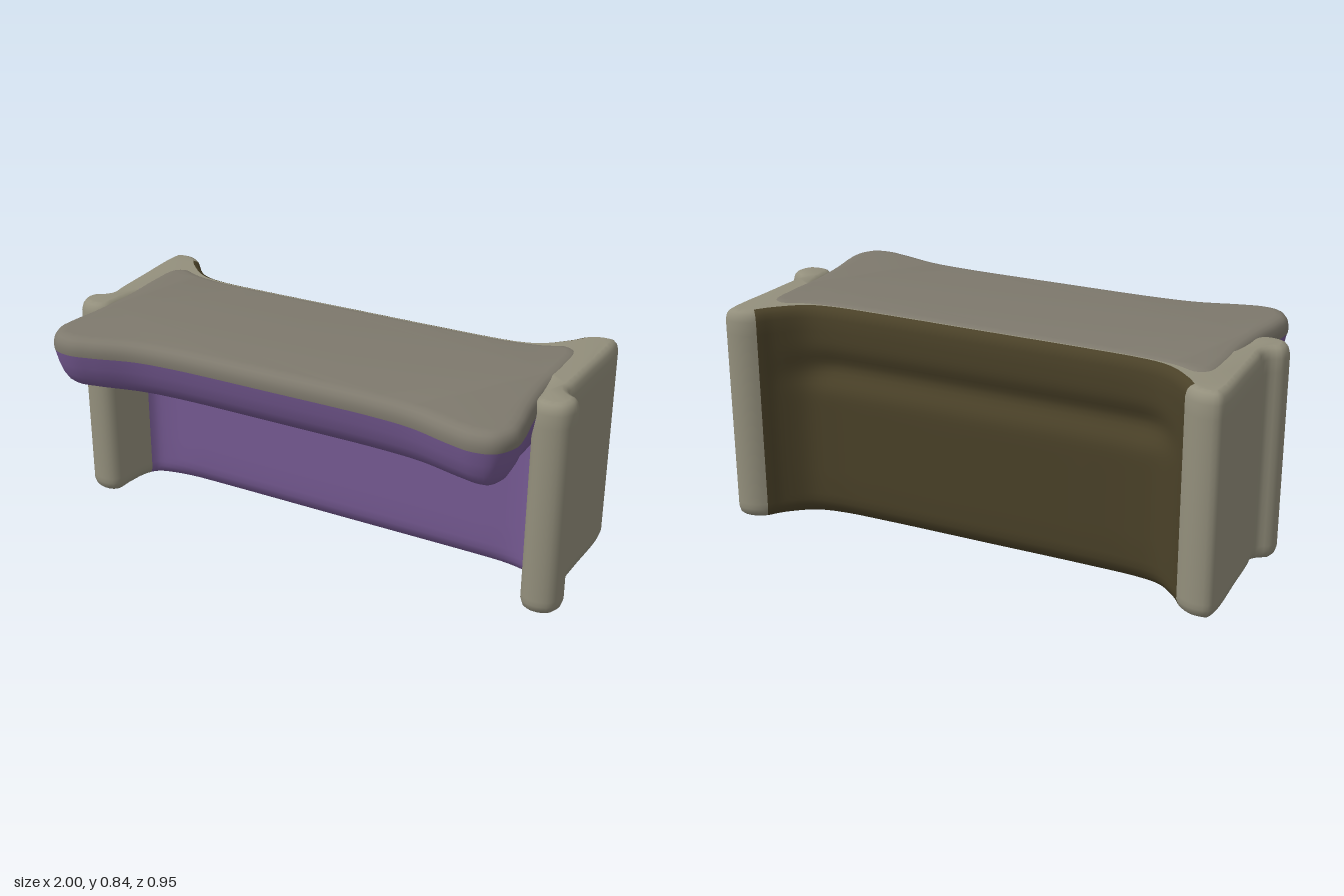
import * as THREE from 'three';
import { toCreasedNormals } from 'three/addons/utils/BufferGeometryUtils.js';

const olive = new THREE.MeshStandardMaterial({ color: 0x938f7c });
const topOlive = new THREE.MeshStandardMaterial({ color: 0x7e796d });
const brown = new THREE.MeshStandardMaterial({ color: 0x4a4128 });
const purple = new THREE.MeshStandardMaterial({ color: 0x765a93 });
const { smoothstep } = THREE.MathUtils;

// Smooth closed plan outline from its +x half, mirrored across x
function planOutline(half, samples) {
  const mirrored = half.slice(1, -1).reverse().map(([x, z]) => [-x, z]);
  const pts = [...half, ...mirrored].map(([x, z]) => new THREE.Vector3(x, 0, z));
  const curve = new THREE.CatmullRomCurve3(pts, true, 'centripetal');
  const ring = curve.getSpacedPoints(samples).slice(0, -1).map((p) => new THREE.Vector2(p.x, p.z));
  return THREE.ShapeUtils.area(ring) < 0 ? ring.reverse() : ring;
}

// Stack inset copies of a plan outline; levels are [height, inset], bend(v, y) shifts points.
// keep(p) limits the walls to part of the outline; caps lists the closed ends.
function loft(ring, levels, { bend = () => {}, keep = () => true, caps = ['bottom', 'top'] } = {}) {
  const n = ring.length;
  const pos = [], idx = [];
  const v = new THREE.Vector3();
  const normals = ring.map((p, i) => {
    const t = ring[(i + 1) % n].clone().sub(ring[(i + n - 1) % n]).normalize();
    return new THREE.Vector2(t.y, -t.x);
  });
  levels.forEach(([y, inset], k) => {
    ring.forEach((p, i) => {
      v.set(p.x - normals[i].x * inset, y, p.y - normals[i].y * inset);
      bend(v, y);
      v.y += 0.008 * v.x * smoothstep(y, 0.5, 0.8); // the top tilts slightly to one side
      pos.push(v.x, v.y, v.z);
      if (k === 0 || !keep(p)) return;
      const a = (k - 1) * n + i, b = (k - 1) * n + ((i + 1) % n);
      idx.push(a, a + n, b, b, a + n, b + n);
    });
  });
  for (const end of caps) {
    const base = end === 'top' ? (levels.length - 1) * n : 0;
    const flat = ring.map((_, i) => new THREE.Vector2(pos[(base + i) * 3], pos[(base + i) * 3 + 2]));
    for (const [a, b, c] of THREE.ShapeUtils.triangulateShape(flat, [])) {
      if (end === 'top') idx.push(base + a, base + c, base + b);
      else idx.push(a, b, c);
    }
  }
  const g = new THREE.BufferGeometry();
  g.setAttribute('position', new THREE.Float32BufferAttribute(pos, 3));
  g.setIndex(idx);
  return toCreasedNormals(g, 0.9);
}

export function createModel() {
  const group = new THREE.Group();
  const add = (name, geometry, material) => {
    const mesh = new THREE.Mesh(geometry, material);
    mesh.name = name;
    group.add(mesh);
  };

  // Body: back panel, front panel, end panels and bulging posts share one plan
  const bodyPlan = planOutline([
    [0, -0.308], [0.4, -0.308], [0.6, -0.314], [0.7, -0.333], [0.78, -0.395], [0.83, -0.455],
    [0.885, -0.478], [0.94, -0.468], [0.952, -0.42], [0.947, -0.2], [0.942, -0.05], [0.938, 0],
    [0.957, 0.025], [0.988, 0.045], [0.998, 0.09], [0.978, 0.138], [0.94, 0.157], [0.89, 0.155],
    [0.86, 0.13], [0.85, 0.05], [0.835, -0.025], [0.81, -0.063], [0.75, -0.08], [0.6, -0.083], [0, -0.083],
  ], 320);
  const bodyLevels = [[0.018, 0.03], [0.022, 0.018], [0.033, 0.007], [0.055, 0], [0.075, 0], [0.1, 0], [0.2, 0], [0.3, 0], [0.4, 0]];
  for (let y = 0.44; y < 0.75; y += 0.02) bodyLevels.push([y, 0]);
  bodyLevels.push([0.79, 0], [0.812, 0.006], [0.824, 0.016], [0.83, 0.03]);
  const bodyBend = (v, y) => {
    const center = 1 - smoothstep(Math.abs(v.x), 0.6, 0.82);
    // Soft horizontal groove along the back, with a slightly recessed rim above it
    if (v.z < -0.2) {
      const groove = 0.035 * Math.exp(-(((y - 0.595) / 0.055) ** 2));
      v.z += center * (groove + 0.015 * smoothstep(y, 0.52, 0.66));
    }
    // The middle has a fuller rounding at the bottom and sags to the floor
    const low = Math.max(0, 1 - (y - 0.018) / 0.08);
    v.z += 0.045 * low * low * center * (v.z < -0.19 ? 1 : -1);
    v.y -= 0.018 * low * center;
  };
  const middle = (p) => Math.abs(p.x) < 0.82;
  const isBack = (p) => middle(p) && p.y < -0.2;
  const isFront = (p) => middle(p) && p.y > -0.2;
  const isEnd = (p) => !middle(p);
  add('endPanels', loft(bodyPlan, bodyLevels, { bend: bodyBend, keep: isEnd, caps: ['top'] }), olive);
  add('backPanel', loft(bodyPlan, bodyLevels, { bend: bodyBend, keep: isBack, caps: ['bottom'] }), brown);
  add('frontPanel', loft(bodyPlan, bodyLevels, { bend: bodyBend, keep: isFront, caps: [] }), purple);

  // Counter front edge with flared corners
  const counterFront = [
    [0, 0.397], [0.4, 0.4], [0.55, 0.415], [0.7, 0.458], [0.79, 0.475], [0.865, 0.455],
    [0.908, 0.38], [0.905, 0.3], [0.885, 0.18], [0.87, 0],
  ];
  // The underside drops toward the back
  const slope = (v, y) => {
    const low = 1 - smoothstep(y, 0.62, 0.74);
    v.y -= 0.1 * low * Math.max(0, 0.4 - v.z);
  };
  const lowerPlan = planOutline([...counterFront, [0.83, -0.14], [0.7, -0.16], [0, -0.16]], 200);
  add('counterUnderside', loft(lowerPlan, [
    [0.618, 0.095], [0.626, 0.07], [0.645, 0.048], [0.675, 0.03], [0.72, 0.014], [0.775, 0.002],
  ], { bend: slope }), purple);

  // The top runs across the whole desk and blends into the back edge
  const topPlan = planOutline([
    ...counterFront, [0.875, -0.15], [0.86, -0.3], [0.8, -0.335], [0.72, -0.305], [0.6, -0.285], [0.4, -0.28], [0, -0.28],
  ], 240);
  add('counterTop', loft(topPlan, [
    [0.77, 0.002], [0.79, 0], [0.812, 0.005], [0.826, 0.016], [0.833, 0.03], [0.836, 0.05],
  ]), topOlive);

  return group;
}
